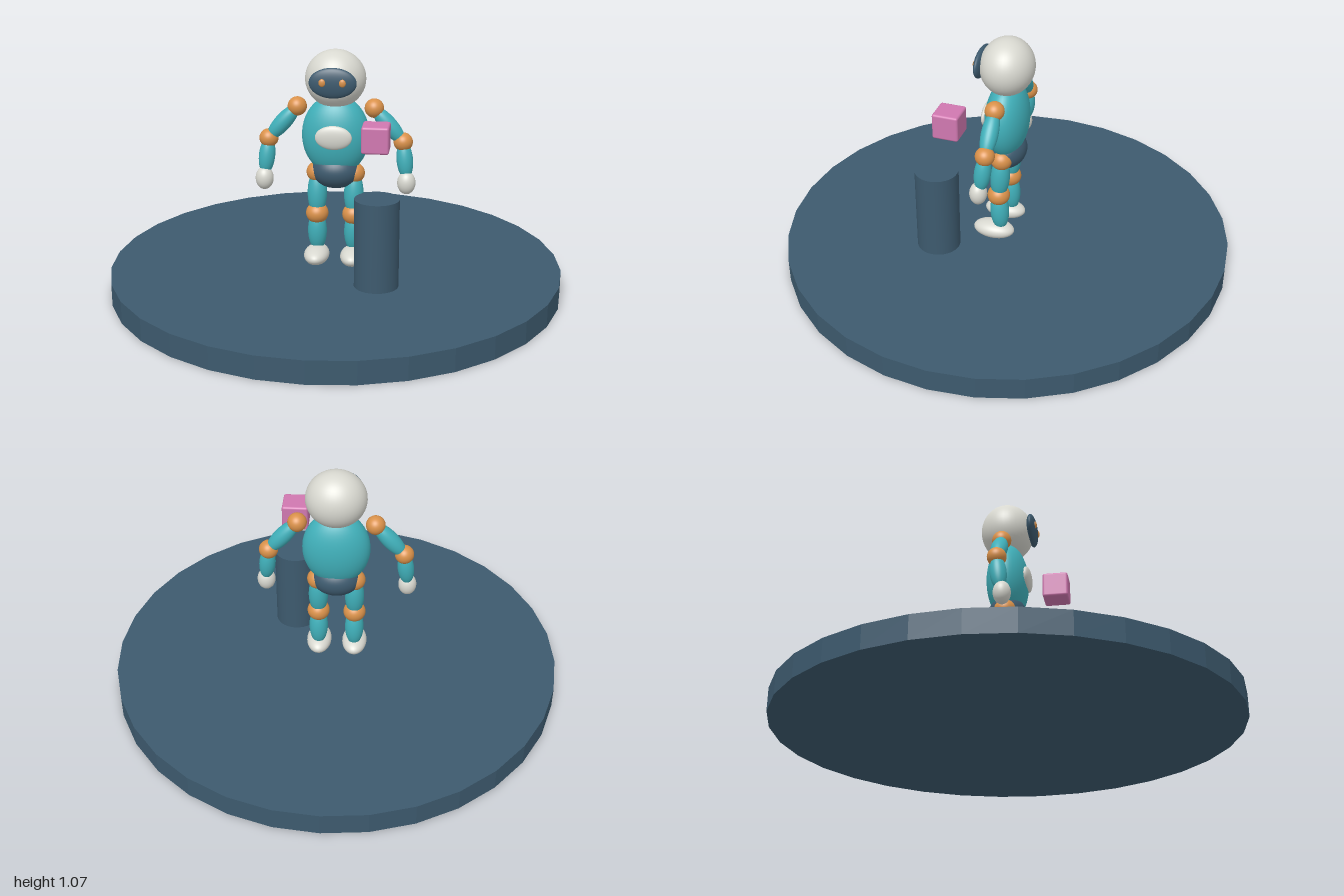
import * as THREE from 'three';
import { RoundedBoxGeometry } from 'three/addons/geometries/RoundedBoxGeometry.js';

const material = (name, color, flatShading = false) =>
  Object.assign(new THREE.MeshStandardMaterial({ color, flatShading }), { name });

export function createModel() {
  const root = new THREE.Group();
  root.name = 'robotOnStage';

  const navy = material('navy', 0x3d5a6e);
  const teal = material('teal', 0x40b0ba);
  const orange = material('orange', 0xd9914a);
  const white = material('offWhite', 0xd8d8d0);
  const pink = material('pink', 0xd078b0);

  const add = (name, geometry, mat, position, parent = root) => {
    const mesh = new THREE.Mesh(geometry, mat);
    mesh.name = name;
    mesh.position.set(...position);
    parent.add(mesh);
    return mesh;
  };
  const ball = new THREE.SphereGeometry(1, 40, 28);
  const ellipsoid = (name, mat, position, radii, parent) => {
    const mesh = add(name, ball, mat, position, parent);
    mesh.scale.set(...radii);
    return mesh;
  };
  // Stretched ellipsoid running between two joints
  const limb = (name, a, b, radius, overlap, parent) => {
    const from = new THREE.Vector3(...a), to = new THREE.Vector3(...b);
    const dir = to.clone().sub(from);
    const mid = from.clone().add(to).multiplyScalar(0.5);
    const mesh = ellipsoid(name, teal, mid.toArray(), [radius, dir.length() / 2 + overlap, radius], parent);
    mesh.quaternion.setFromUnitVectors(new THREE.Vector3(0, 1, 0), dir.normalize());
  };

  // Stage, its sides faceted by splitting the normals
  const disc = new THREE.CylinderGeometry(1, 1, 0.1, 32).toNonIndexed();
  disc.computeVertexNormals();
  add('stage', disc, navy, [0, 0.05, 0]);

  // Pedestal and the cube floating above it
  add('pedestal', new THREE.CylinderGeometry(0.096, 0.096, 0.39, 32), navy, [0.204, 0.295, 0.257]);
  add('cube', new RoundedBoxGeometry(0.116, 0.116, 0.116, 3, 0.01), pink, [0.192, 0.737, 0.195]);

  // Head
  const head = new THREE.Group();
  head.name = 'head';
  root.add(head);
  ellipsoid('skull', white, [0, 0.942, 0], [0.132, 0.127, 0.118], head);
  ellipsoid('visor', navy, [0, 0.946, 0.112], [0.102, 0.066, 0.023], head);
  for (const s of [-1, 1])
    ellipsoid('eye', orange, [s * 0.043, 0.95, 0.131], [0.015, 0.017, 0.008], head);

  // Body
  ellipsoid('torso', teal, [0, 0.69, 0], [0.148, 0.18, 0.093]);
  ellipsoid('chestPlate', white, [0, 0.7, 0.088], [0.08, 0.053, 0.02]);
  ellipsoid('pelvis', navy, [0, 0.53, 0], [0.108, 0.08, 0.085]);

  // Arms and legs, mirrored
  for (const s of [-1, 1]) {
    const side = s > 0 ? 'left' : 'right';
    const arm = new THREE.Group(), leg = new THREE.Group();
    arm.name = side + 'Arm';
    leg.name = side + 'Leg';
    root.add(arm, leg);

    const shoulder = [s * 0.168, 0.815, 0], elbow = [s * 0.295, 0.668, 0], wrist = [s * 0.312, 0.51, 0.016];
    ellipsoid('shoulder', orange, shoulder, [0.042, 0.042, 0.042], arm);
    limb('upperArm', shoulder, elbow, 0.037, 0.005, arm);
    ellipsoid('elbow', orange, elbow, [0.042, 0.041, 0.042], arm);
    limb('forearm', elbow, wrist, 0.036, 0.005, arm);
    ellipsoid('hand', white, [s * 0.313, 0.49, 0.025], [0.04, 0.051, 0.038], arm);

    const hip = [s * 0.081, 0.52, 0], knee = [s * 0.081, 0.333, 0.014], ankle = [s * 0.081, 0.165, 0.005];
    ellipsoid('hip', orange, hip, [0.048, 0.046, 0.048], leg);
    limb('thigh', hip, knee, 0.043, 0.012, leg);
    ellipsoid('knee', orange, knee, [0.05, 0.047, 0.05], leg);
    limb('shin', knee, ankle, 0.042, 0.012, leg);
    ellipsoid('foot', white, [s * 0.081, 0.145, 0.037], [0.056, 0.04, 0.094], leg);
  }
  return root;
}
